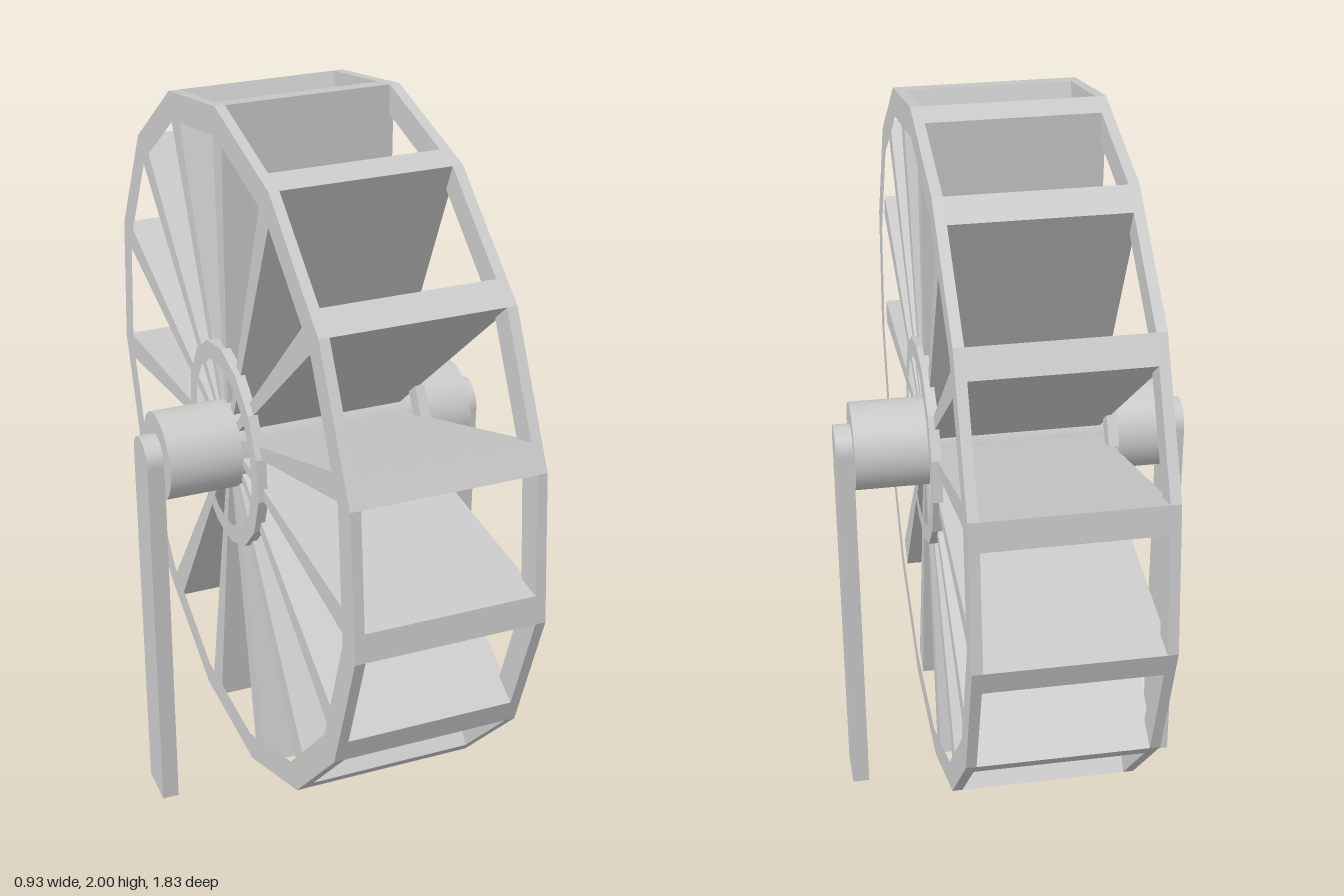
import * as THREE from 'three';

const SIDES = 15;
const RIM = 0.92;
const HUB_Y = 1.08;
const HALF_WIDTH = 0.24;

const material = new THREE.MeshStandardMaterial({ color: 0xcccccc, flatShading: true });
const smooth = new THREE.MeshStandardMaterial({ color: 0xcccccc });

// Corner i of the wheel polygon at radius r, as (z, y) around the hub
function corner(i, r) {
  const a = (i / SIDES) * Math.PI * 2;
  return new THREE.Vector2(Math.sin(a) * r, Math.cos(a) * r);
}

function polygon(r) {
  return Array.from({ length: SIDES }, (_, i) => corner(i, r));
}

// Extrude a (z, y) outline along x, centred on x = 0
function extrudeX(shape, width, curveSegments = 12) {
  const geo = new THREE.ExtrudeGeometry(shape, { depth: width, bevelEnabled: false, curveSegments });
  geo.translate(0, 0, -width / 2);
  geo.rotateY(-Math.PI / 2);
  return geo;
}

function addMesh(parent, name, geometry, mat = material) {
  const mesh = new THREE.Mesh(geometry, mat);
  mesh.name = name;
  parent.add(mesh);
  return mesh;
}

function ring(outer, inner, width) {
  const shape = new THREE.Shape(polygon(outer));
  shape.holes.push(new THREE.Path(polygon(inner)));
  return extrudeX(shape, width);
}

export function createModel() {
  const model = new THREE.Group();
  model.name = 'waterWheel';

  const wheel = new THREE.Group();
  wheel.name = 'wheel';
  wheel.position.y = HUB_Y;
  model.add(wheel);

  // Outer and inner rings on both sides
  const ringWidth = 0.026;
  const rimGeo = ring(RIM, 0.845, ringWidth);
  const innerGeo = ring(0.275, 0.225, ringWidth);
  for (const side of [1, -1]) {
    const x = side * (HALF_WIDTH - ringWidth / 2);
    addMesh(wheel, 'outerRing', rimGeo).position.x = x;
    addMesh(wheel, 'innerRing', innerGeo).position.x = x;
  }

  // Tapered paddles: one radial face, outer end lying along the rim
  const end = corner(0, RIM).lerp(corner(-1, RIM), 0.075 / (2 * RIM * Math.sin(Math.PI / SIDES)));
  const bladeGeo = extrudeX(new THREE.Shape([
    corner(0, RIM), new THREE.Vector2(0, 0.08), new THREE.Vector2(-0.022, 0.08), end,
  ]), 0.45);
  for (let i = 0; i < SIDES; i++) {
    addMesh(wheel, 'paddle', bladeGeo).rotation.x = (i / SIDES) * Math.PI * 2;
  }

  // Axle
  const axleGeo = new THREE.CylinderGeometry(0.117, 0.117, 0.84, 32);
  axleGeo.rotateZ(Math.PI / 2);
  addMesh(wheel, 'axle', axleGeo, smooth);

  // Support posts with rounded tops
  const post = new THREE.Shape();
  post.moveTo(-0.06, 0);
  post.lineTo(0.06, 0);
  post.lineTo(0.06, HUB_Y);
  post.absarc(0, HUB_Y, 0.06, 0, Math.PI, false);
  post.lineTo(-0.06, 0);
  const postGeo = extrudeX(post, 0.046, 16);
  for (const side of [1, -1]) {
    addMesh(model, side > 0 ? 'leftPost' : 'rightPost', postGeo).position.x = side * 0.442;
  }

  return model;
}
